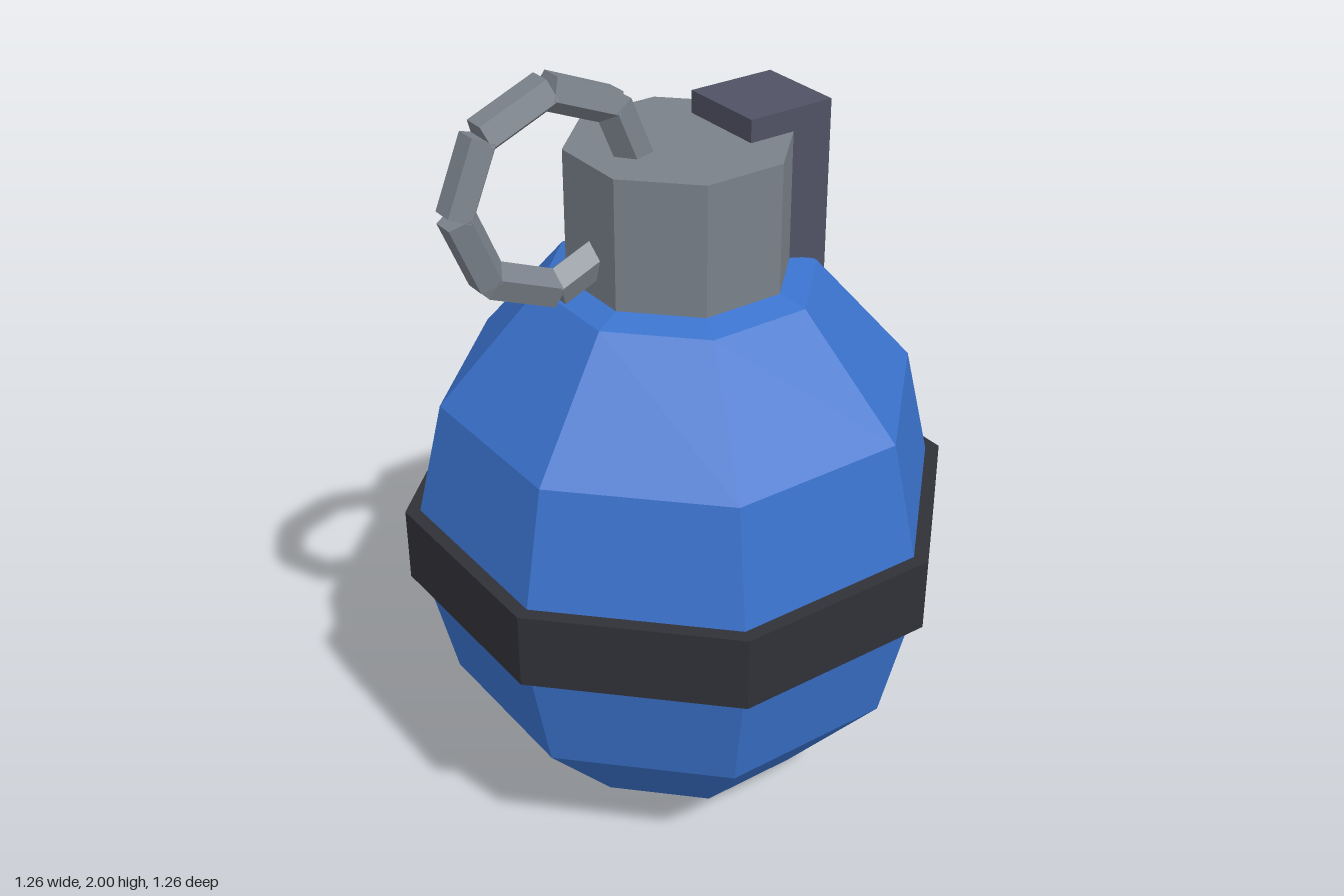
import * as THREE from 'three';

const flat = (name, color) => {
  const m = new THREE.MeshStandardMaterial({ color, flatShading: true });
  m.name = name;
  return m;
};

export function createModel() {
  const blue = flat('blue shell', 0x3a72cc);
  const dark = flat('dark band', 0x303038);
  const steel = flat('grey steel', 0x7a818a);
  const slate = flat('slate lever', 0x505163);

  const model = new THREE.Group();
  model.name = 'grenade';
  const add = (name, geometry, material, x, y, z, parent = model) => {
    const mesh = new THREE.Mesh(geometry, material);
    mesh.name = name;
    mesh.position.set(x, y, z);
    parent.add(mesh);
    return mesh;
  };

  // Octagonal parts have flat sides towards x and z, sized by their half width
  const turn = Math.PI / 8;
  const corner = (halfWidth) => halfWidth / Math.cos(turn);
  const octagon = (halfWidth, height) =>
    new THREE.CylinderGeometry(corner(halfWidth), corner(halfWidth), height, 8, 1, false, turn);

  // Faceted egg-shaped body
  const shell = new THREE.SphereGeometry(corner(0.62), 8, 6, turn);
  shell.scale(1, 0.77 / corner(0.62), 1);
  add('body', shell, blue, 0, 0.77, 0);

  // Band around the middle, and the cap on top
  add('band', octagon(0.632, 0.19), dark, 0, 0.775, 0);
  add('cap', octagon(0.248, 0.375), steel, 0, 1.5875, 0);

  // Lever block sunk into the side of the cap
  add('lever', new THREE.BoxGeometry(0.23, 0.43, 0.228), slate, 0.23, 1.615, 0);

  // Pull ring of eight straight five-sided links, each with an edge facing inwards
  const ring = new THREE.Group();
  ring.name = 'pullRing';
  ring.position.set(-0.345, 1.734, 0);
  model.add(ring);
  const link = new THREE.CylinderGeometry(0.045, 0.045, 0.178, 5, 1, false, -Math.PI / 2);
  for (let i = 0; i < 8; i++) {
    const a = turn + (i * Math.PI) / 4;
    const mesh = add('ringLink', link, steel, Math.cos(a) * 0.215, Math.sin(a) * 0.215, 0, ring);
    mesh.rotation.z = a;
  }

  return model;
}
